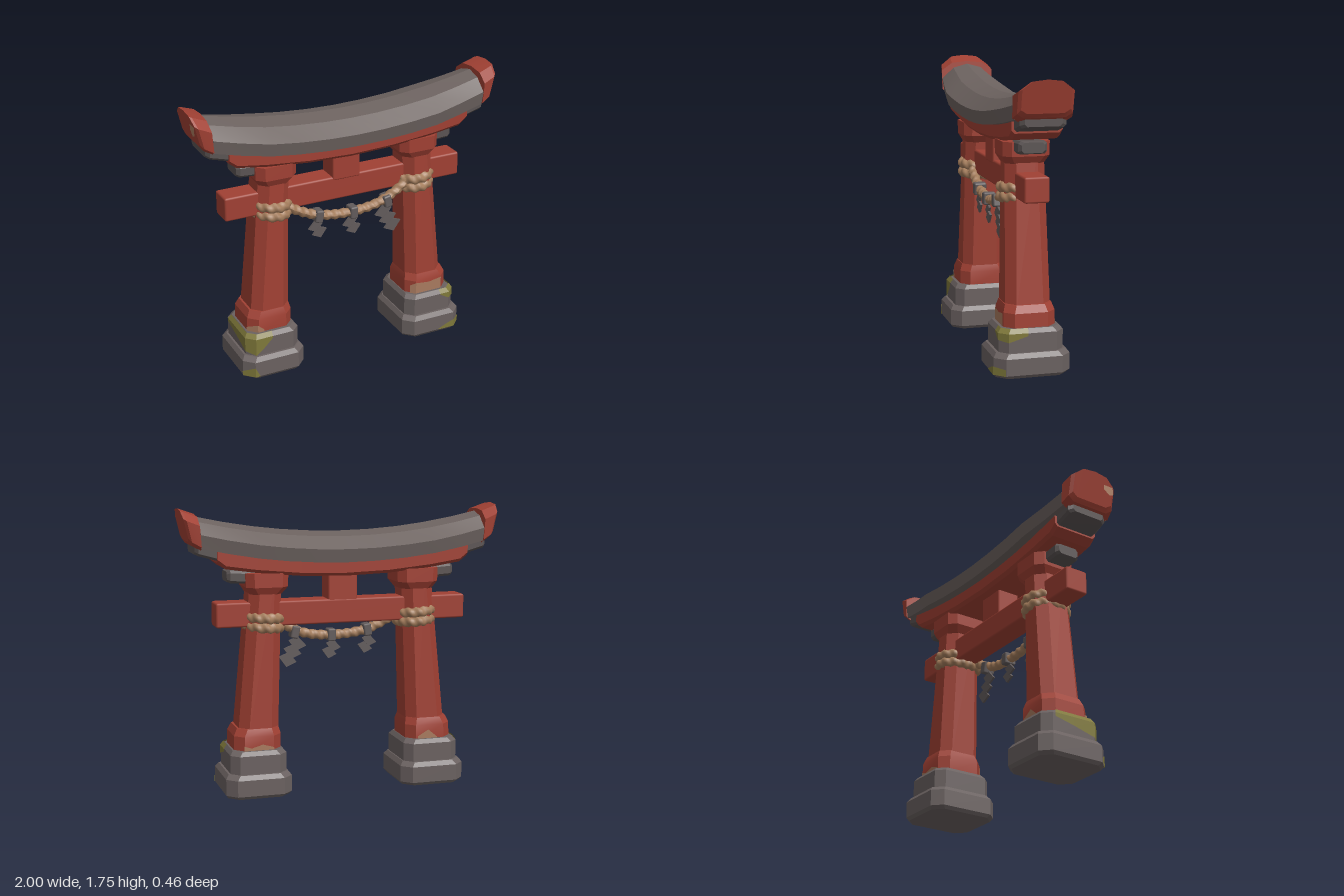
import * as THREE from 'three';
import { toCreasedNormals } from 'three/addons/utils/BufferGeometryUtils.js';
import { RoundedBoxGeometry } from 'three/addons/geometries/RoundedBoxGeometry.js';

const paint = (name, color, extra = {}) => {
  const m = new THREE.MeshStandardMaterial({ color, ...extra });
  m.name = name;
  return m;
};

// Skin equal-length rings of [x, y, z] points and close both ends
function loft(rings) {
  const n = rings[0].length, pos = rings.flat(2), idx = [];
  for (let k = 0; k < rings.length - 1; k++)
    for (let i = 0; i < n; i++) {
      const j = (i + 1) % n, a = k * n + i, b = k * n + j;
      idx.push(a, b, b + n, a, b + n, a + n);
    }
  const last = (rings.length - 1) * n;
  for (let i = 1; i < n - 1; i++) idx.push(0, i + 1, i, last, last + i, last + i + 1);
  const g = new THREE.BufferGeometry();
  g.setAttribute('position', new THREE.Float32BufferAttribute(pos, 3));
  g.setIndex(idx);
  return toCreasedNormals(g, 0.35);
}

// Rectangle with cut corners, counter-clockwise
const rect = (u, v, c) => [[u - c, -v], [u, -v + c], [u, v - c], [u - c, v],
  [-u + c, v], [-u, v - c], [-u, -v + c], [-u + c, -v]];

// Upright block from levels of [y, centre x, half width, half depth]
const column = (levels, c) => loft(levels.map(([y, cx, hx, hz]) =>
  rect(hz, hx, c).map(([u, v]) => [cx + v, y, u])));

const rise = x => 0.13 * x * x;

// Curved beam along x, from a [y, z] section
const beam = (xs, section, depth = () => 1) => loft(xs.map(x =>
  section.map(([y, z]) => [x, y + rise(x), z * depth(x)])));

// Thin painted strip from columns of [x, z, low, high], optionally folded over a ledge
function patch(cols, cx, ledgeY) {
  const rows = ledgeY ? 3 : 2, pos = [], idx = [];
  cols.forEach(([x, z, lo, hi], i) => {
    pos.push(x, lo, z, x, hi, z);
    if (ledgeY) pos.push(cx + (x - cx) * 0.9, ledgeY, z * 0.9);
    if (i) for (let r = 0; r < rows - 1; r++) {
      const a = (i - 1) * rows + r, b = i * rows + r;
      idx.push(a, b, b + 1, a, b + 1, a + 1);
    }
  });
  const g = new THREE.BufferGeometry();
  g.setAttribute('position', new THREE.Float32BufferAttribute(pos, 3));
  g.setIndex(idx);
  return toCreasedNormals(g, 0.35);
}

// Tube whose surface is twisted into strands
function ropeGeometry(points, closed, steps, twists, radius) {
  const curve = new THREE.CatmullRomCurve3(points.map(p => new THREE.Vector3(...p)), closed);
  const sides = 10, g = new THREE.TubeGeometry(curve, steps, radius, sides, closed);
  const p = g.attributes.position, v = new THREE.Vector3();
  for (let i = 0; i <= steps; i++) {
    const mid = curve.getPointAt(i / steps);
    for (let j = 0; j <= sides; j++) {
      const k = i * (sides + 1) + j;
      const s = 1 + 0.13 * Math.cos(2 * Math.PI * (2 * j / sides + twists * i / steps));
      v.fromBufferAttribute(p, k).sub(mid).multiplyScalar(s).add(mid);
      p.setXYZ(k, v.x, v.y, v.z);
    }
  }
  g.computeVertexNormals();
  return g;
}

export function createModel() {
  const model = new THREE.Group();
  model.name = 'shrineGate';
  const red = paint('red paint', 0xa04033);
  const slate = paint('roof slate', 0x6c625f);
  const dark = paint('dark beam end', 0x5a5352);
  const stone = paint('stone', 0x6a6160);
  const straw = paint('straw rope', 0xa47d5c);
  const moss = paint('moss', 0x7f783a, { side: THREE.DoubleSide });
  const worn = paint('bare wood', 0xa87a5e, { side: THREE.DoubleSide });
  const paper = paint('grey paper', 0x625b5b);
  const add = (name, geometry, material, x = 0, y = 0, z = 0) => {
    const m = new THREE.Mesh(geometry, material);
    m.name = name;
    m.position.set(x, y, z);
    model.add(m);
    return m;
  };

  // Roof, curving up and narrowing at the ends
  const roofXs = [-0.89, -0.73, -0.55, -0.37, -0.18, 0, 0.18, 0.37, 0.55, 0.73, 0.89];
  add('roof', beam(roofXs, [[1.42, -0.205], [1.5, -0.22], [1.57, -0.12], [1.595, 0],
    [1.57, 0.12], [1.5, 0.22], [1.42, 0.205]],
  x => 1 - 0.65 * Math.max(0, Math.abs(x) - 0.55)), slate);

  // Lintel below the roof
  const lintelXs = [-0.79, -0.74, -0.55, -0.28, 0, 0.28, 0.55, 0.74, 0.79];
  const lintel = rect(0.065, 0.15, 0.02).map(([y, z]) => [y + 1.395, z]);
  add('lintel', loft(lintelXs.map(x => lintel.map(([y, z]) => {
    const lift = Math.abs(x) > 0.75 && y < 1.4 ? 0.03 : 0;
    return [x, y + rise(x) * 0.9 + lift, z];
  }))), red);

  for (const s of [-1, 1]) {
    const side = s < 0 ? 'right' : 'left';
    const order = list => (s < 0 ? [...list].reverse() : list);

    // Red cap on the roof end, leaning outwards
    const capSection = [[0, -0.75], [0.12, -1], [0.72, -1], [0.95, -0.6], [1, 0],
      [0.95, 0.6], [0.72, 1], [0.12, 1], [0, 0.75]];
    const capRing = (x, lean, y0, y1, hz) => capSection.map(([t, z]) =>
      [s * (x + lean * t), y0 + (y1 - y0) * t, z * hz]);
    add(side + 'RoofCap', loft(order([
      capRing(0.885, 0.015, 1.505, 1.715, 0.172),
      capRing(0.935, 0.05, 1.535, 1.745, 0.16),
      capRing(0.955, 0.045, 1.56, 1.75, 0.142)])), red);

    // Dark beam ends under the roof
    const endBlock = (x0, x1, y, lift, hy, hz) => loft(order([[x0, 0, 1], [x1 - 0.02, lift, 1], [x1, lift, 0.8]]
      .map(([x, up, k]) => rect(hy * k, hz * k, 0.015).map(([u, v]) => [s * x, y + up + u, v]))));
    add(side + 'UpperBeamEnd', endBlock(0.74, 0.92, 1.475, 0.045, 0.045, 0.135), dark);
    add(side + 'LowerBeamEnd', endBlock(0.55, 0.72, 1.33, 0.01, 0.038, 0.085), dark);

    // Leaning post with collar, capital and stepped stone base
    add(side + 'Post', column([[0.38, s * 0.54, 0.125, 0.137], [1.3, s * 0.482, 0.098, 0.118]], 0.055), red);
    add(side + 'Collar', column([[0.27, s * 0.552, 0.147, 0.155], [0.37, s * 0.55, 0.146, 0.155],
      [0.415, s * 0.545, 0.13, 0.14]], 0.055), red);
    add(side + 'Capital', column([[1.23, s * 0.483, 0.1, 0.118], [1.275, s * 0.48, 0.13, 0.142],
      [1.36, s * 0.48, 0.132, 0.142]], 0.045), red);
    add(side + 'UpperBase', column([[0.13, s * 0.555, 0.175, 0.195], [0.26, s * 0.555, 0.175, 0.195],
      [0.285, s * 0.555, 0.155, 0.175]], 0.05), stone);
    add(side + 'LowerBase', column([[0, s * 0.558, 0.19, 0.215], [0.02, s * 0.558, 0.205, 0.23],
      [0.12, s * 0.558, 0.205, 0.23], [0.147, s * 0.558, 0.185, 0.21]], 0.06), stone);

    // Two rope loops round the post
    for (const y of [1.028, 1.085]) {
      const loop = Array.from({ length: 12 }, (_, i) => {
        const a = i * Math.PI / 6;
        return [s * 0.487 + 0.102 * Math.cos(a), y + 0.008 * s * Math.cos(a), 0.126 * Math.sin(a)];
      });
      add(side + 'RopeLoop', ropeGeometry(loop, true, 96, 14, 0.031), straw);
    }
  }

  // Tie beam and centre strut
  add('tieBeam', new RoundedBoxGeometry(1.59, 0.15, 0.15, 1, 0.012), red, -0.005, 1.107, -0.003);
  add('centreStrut', new RoundedBoxGeometry(0.185, 0.2, 0.15, 1, 0.01), red, -0.003, 1.26, 0);

  // Hanging rope with paper streamers
  add('hangingRope', ropeGeometry([[-0.42, 1.07, 0.08], [-0.34, 1.02, 0.085], [-0.2, 0.96, 0.085],
    [0, 0.935, 0.085], [0.2, 0.955, 0.085], [0.34, 1.02, 0.085], [0.42, 1.08, 0.08]], false, 90, 16, 0.029), straw);
  for (const [x, y, size, blades, tilt] of [[-0.205, 0.96, 1, 2, -0.15], [0.03, 0.937, 1, 2, 0], [0.265, 0.965, 1.2, 3, 0.2]]) {
    add('streamerTie', new RoundedBoxGeometry(0.052, 0.078, 0.078, 1, 0.01), paper, x, y, 0.085).rotation.z = tilt;
    for (let i = 0; i < blades; i++) {
      const shape = new THREE.Shape([[-0.01, 0.02], [-0.055, -0.03], [0, -0.055], [0.04, 0]]
        .map(([u, v]) => new THREE.Vector2(u * size, v * size)));
      add('streamerFold', new THREE.ExtrudeGeometry(shape, { depth: 0.014, bevelEnabled: false }), paper,
        x - 0.01 + 0.026 * i * size, y - 0.055 - 0.042 * i * size, 0.078 + 0.002 * i);
    }
  }

  // Moss on the stones
  add('rightUpperMoss', patch([[-0.734, -0.13, 0.24, 0.262], [-0.734, 0, 0.21, 0.262], [-0.734, 0.147, 0.17, 0.262],
    [-0.682, 0.199, 0.15, 0.262], [-0.63, 0.199, 0.19, 0.262], [-0.57, 0.199, 0.25, 0.262]], -0.555, 0.289), moss);
  add('leftUpperMoss', patch([[0.62, 0.199, 0.255, 0.262], [0.682, 0.199, 0.22, 0.262],
    [0.734, 0.147, 0.21, 0.262], [0.734, 0.03, 0.245, 0.262]], 0.555, 0.289), moss);
  add('rightLowerMoss', patch([[-0.767, 0.172, 0.02, 0.05], [-0.705, 0.234, 0.02, 0.085],
    [-0.675, 0.234, 0.02, 0.025]], -0.558), moss);
  add('leftLowerMoss', patch([[0.59, 0.234, 0.02, 0.025], [0.645, 0.234, 0.02, 0.05],
    [0.705, 0.234, 0.02, 0.07], [0.767, 0.172, 0.02, 0.06]], 0.558), moss);

  // Worn paint on the collars and one cap
  add('rightWornPaint', patch([[-0.704, 0.1, 0.28, 0.31], [-0.65, 0.159, 0.28, 0.335],
    [-0.61, 0.159, 0.28, 0.3]], -0.55), worn);
  add('leftWornPaint', patch([[0.425, 0.135, 0.28, 0.34], [0.458, 0.159, 0.28, 0.36],
    [0.55, 0.159, 0.28, 0.35], [0.64, 0.159, 0.28, 0.365]], 0.55), worn);
  add('leftBackWornPaint', patch([[0.46, -0.159, 0.28, 0.3], [0.53, -0.159, 0.28, 0.32],
    [0.6, -0.159, 0.28, 0.3], [0.645, -0.159, 0.28, 0.315]], 0.55), worn);
  add('rightBackWornPaint', patch([[-0.6, -0.159, 0.28, 0.29], [-0.54, -0.159, 0.28, 0.34],
    [-0.47, -0.159, 0.28, 0.3]], -0.55), worn);
  add('capWornPaint', patch([[-0.989, 0.07, 1.66, 1.69], [-0.989, 0.11, 1.63, 1.69],
    [-0.989, 0.138, 1.64, 1.69]], -0.9), worn);

  return model;
}
